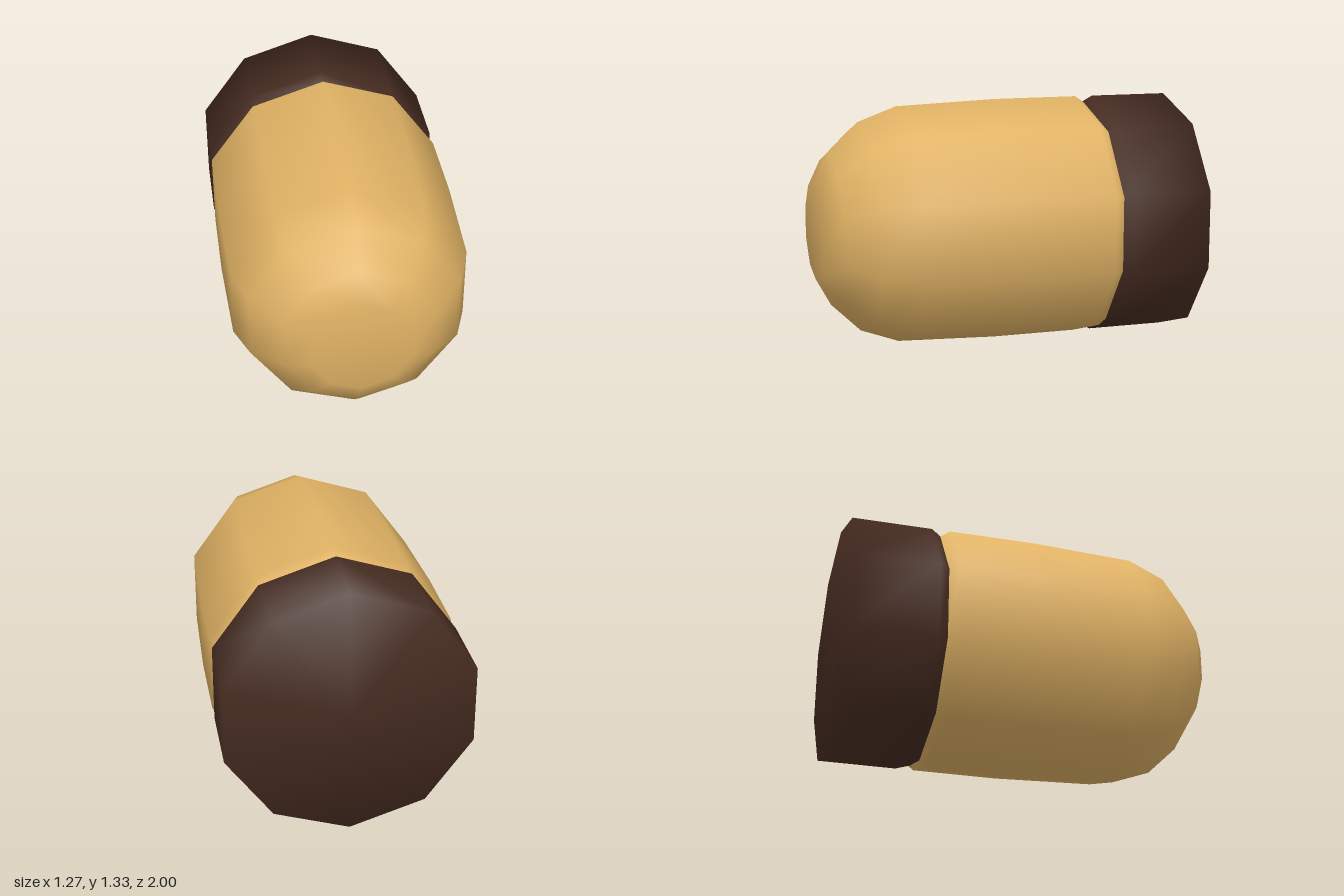
import * as THREE from 'three';

const SIDES = 10;
const RADIUS = 0.666;

// Ten-sided smooth solid turned about the z axis; profile is [radius, z] from back to front
function turned(name, color, profile) {
  const points = profile.map(([r, z]) => new THREE.Vector2(r, z));
  const geometry = new THREE.LatheGeometry(points, SIDES);
  geometry.rotateX(Math.PI / 2);
  geometry.translate(0, RADIUS, 0);
  const mesh = new THREE.Mesh(geometry, new THREE.MeshStandardMaterial({ color }));
  mesh.name = name;
  return mesh;
}

export function createModel() {
  const model = new THREE.Group();
  model.name = 'roundedCapsule';

  // Dark base with a flat back and a chamfer into the groove
  model.add(turned('base', 0x452b20, [
    [0, -1], [RADIUS, -1], [RADIUS, -0.57], [0.632, -0.52],
  ]));

  // Golden body, slightly tapered, rounding off to a flat nose
  model.add(turned('body', 0xe0b264, [
    [0.632, -0.52], [RADIUS, -0.47], [RADIUS, 0], [0.645, 0.55],
    [0.568, 0.76], [0.413, 0.92], [0.267, 1], [0, 1],
  ]));

  return model;
}
